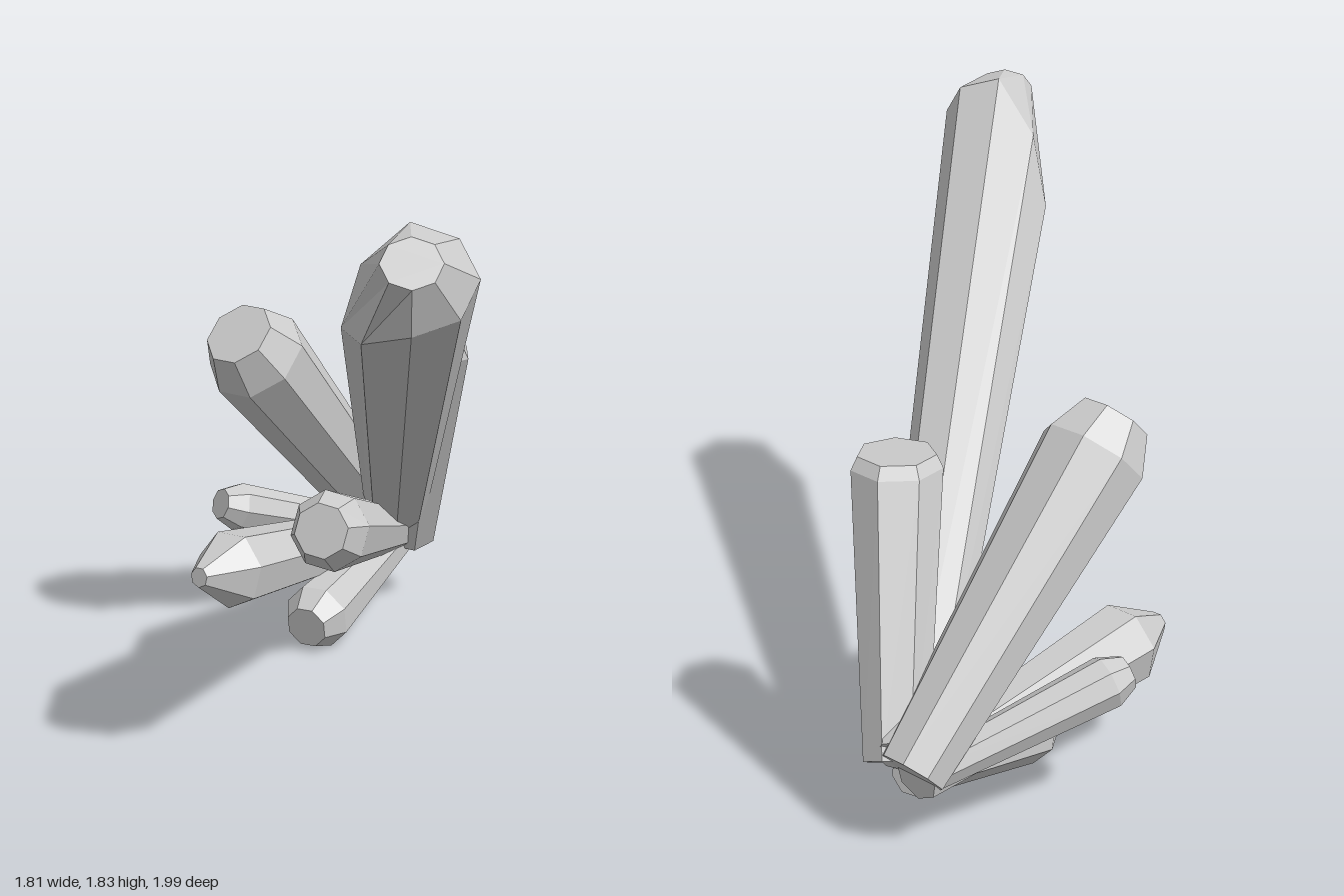
import * as THREE from 'three';

const material = new THREE.MeshStandardMaterial({ color: 0xcccccc, flatShading: true });

// One faceted crystal: base ring, wider shoulder ring, smaller cap ring, both ends closed.
// flat: [x, y] stretch of the section; skew: lowers the shoulder on one side; tilt: slants the end.
function crystal({ name, base, tip, r0, r1, rc, shoulder, sides = 8, phase = 0, flat = [1, 1], skew = 0, tilt = 0 }) {
  const start = new THREE.Vector3(...base);
  const d = new THREE.Vector3(...tip).sub(start);
  const length = d.length();
  d.normalize();
  const u = new THREE.Vector3(0, 1, 0).cross(d).normalize();
  const w = d.clone().cross(u);

  const rings = [
    { r: r0, at: 0, skew: 0, tilt: 0 },
    { r: r1, at: length - shoulder, skew, tilt },
    { r: rc, at: length, skew: 0, tilt },
  ];
  const positions = [];
  for (const ring of rings) {
    for (let i = 0; i < sides; i++) {
      const a = phase + (i / sides) * Math.PI * 2;
      const cu = Math.cos(a) * ring.r * flat[0];
      const cw = Math.sin(a) * ring.r * flat[1];
      const along = ring.at + ring.tilt * cw - ring.skew * Math.max(0, -Math.cos(a)) ** 2;
      const p = start.clone().addScaledVector(d, along).addScaledVector(u, cu).addScaledVector(w, cw);
      positions.push(p.x, p.y, p.z);
    }
  }

  const index = [];
  for (let k = 0; k < rings.length - 1; k++) {
    for (let i = 0; i < sides; i++) {
      const j = (i + 1) % sides;
      const a = k * sides + i, b = k * sides + j;
      index.push(a, b, b + sides, a, b + sides, a + sides);
    }
  }
  const top = (rings.length - 1) * sides;
  for (let i = 1; i < sides - 1; i++) {
    index.push(0, i + 1, i);
    index.push(top, top + i, top + i + 1);
  }

  const indexed = new THREE.BufferGeometry();
  indexed.setAttribute('position', new THREE.Float32BufferAttribute(positions, 3));
  indexed.setIndex(index);
  const geometry = indexed.toNonIndexed();
  geometry.computeVertexNormals();
  const mesh = new THREE.Mesh(geometry, material);
  mesh.name = name;
  return mesh;
}

export function createModel() {
  const group = new THREE.Group();
  group.name = 'crystalCluster';

  // All crystals fan out from a common root
  const crystals = [
    { name: 'longCrystal', base: [-0.54, 0.3, -0.9], tip: [0.82, 1.77, 0.93],
      r0: 0.1, r1: 0.185, rc: 0.085, shoulder: 0.13, flat: [1.06, 0.93], skew: 0.42 },
    { name: 'tallCrystal', base: [-0.57, 0.265, -0.92], tip: [-0.58, 1.16, -0.05],
      r0: 0.11, r1: 0.175, rc: 0.12, shoulder: 0.13, phase: Math.PI / 8 },
    { name: 'rearCrystal', base: [-0.48, 0.26, -0.9], tip: [-0.16, 1.08, -0.57],
      r0: 0.1, r1: 0.145, rc: 0.125, shoulder: 0.04, sides: 7, phase: 0.3, tilt: -0.5 },
    { name: 'middleCrystal', base: [-0.52, 0.27, -0.87], tip: [-0.23, 0.535, -0.04],
      r0: 0.08, r1: 0.14, rc: 0.095, shoulder: 0.1, phase: 0.2 },
    { name: 'pointedCrystal', base: [-0.57, 0.25, -0.9], tip: [-0.555, 0.375, 0.21],
      r0: 0.085, r1: 0.135, rc: 0.035, shoulder: 0.17, sides: 7, phase: 0.25 },
    { name: 'smallCrystal', base: [-0.59, 0.25, -0.88], tip: [-0.84, 0.46, -0.26],
      r0: 0.06, r1: 0.085, rc: 0.055, shoulder: 0.07 },
    { name: 'lowCrystal', base: [-0.53, 0.235, -0.88], tip: [-0.41, 0.11, -0.19],
      r0: 0.075, r1: 0.118, rc: 0.075, shoulder: 0.085, phase: Math.PI / 8 },
  ];
  for (const c of crystals) group.add(crystal(c));
  return group;
}
